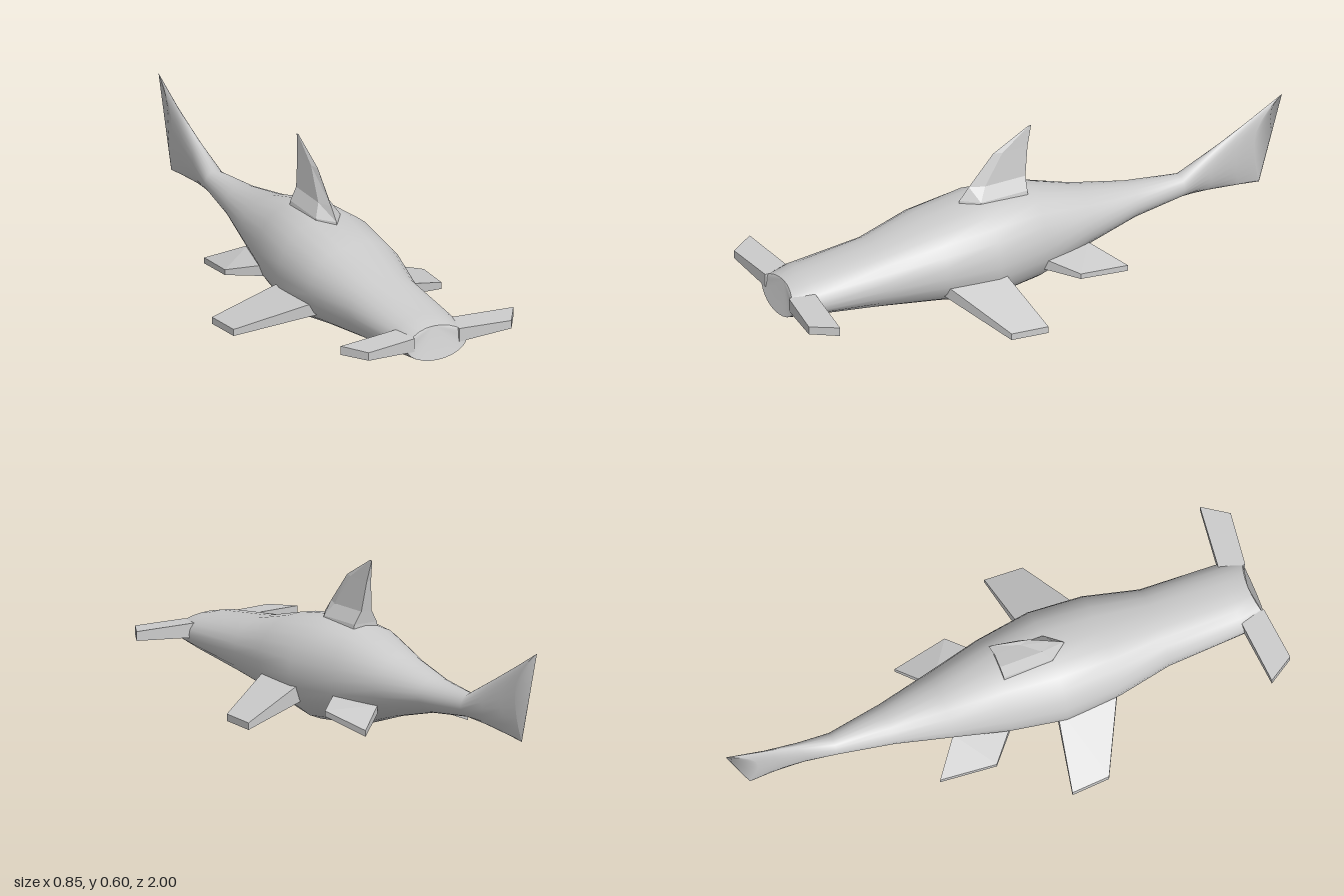
import * as THREE from 'three';
import { ConvexGeometry } from 'three/addons/geometries/ConvexGeometry.js';

const material = new THREE.MeshStandardMaterial({ color: 0xcccccc, side: THREE.DoubleSide });

// Skin closed rings of points; end caps get their own vertices to keep a crisp edge
function loft(rings, flat) {
  const n = rings[0].length, pos = rings.flat(2), index = [];
  for (let r = 0; r < rings.length - 1; r++) {
    for (let i = 0; i < n; i++) {
      const a = r * n + i, b = r * n + (i + 1) % n;
      index.push(a, a + n, b, b, a + n, b + n);
    }
  }
  [rings[0], rings[rings.length - 1]].forEach((ring, end) => {
    const start = pos.length / 3;
    pos.push(...ring.flat());
    for (let i = 1; i < n - 1; i++) {
      index.push(start, start + (end ? i + 1 : i), start + (end ? i : i + 1));
    }
  });
  let geo = new THREE.BufferGeometry();
  geo.setAttribute('position', new THREE.Float32BufferAttribute(pos, 3));
  geo.setIndex(index);
  if (flat) geo = geo.toNonIndexed();
  geo.computeVertexNormals();
  return geo;
}

// Tapered fin hull; each corner is [x, top y, z, thickness]
function fin(corners, side) {
  return new ConvexGeometry(corners.flatMap(([x, y, z, t]) => [
    new THREE.Vector3(side * x, y, z), new THREE.Vector3(side * x, y - t, z),
  ]));
}

export function createModel() {
  const group = new THREE.Group();
  const add = (name, geo) => {
    const mesh = new THREE.Mesh(geo, material);
    mesh.name = name;
    group.add(mesh);
  };

  // Body from snout to tail: half width, top y, bottom y, z at top / middle / bottom, pinch
  const stations = [
    [0.12, 0.245, 0.13, 0.95, 0.975, 0.985, 1],
    [0.135, 0.262, 0.117, 0.88, 0.88, 0.885, 0.9],
    [0.145, 0.295, 0.07, 0.6, 0.6, 0.6, 0.85],
    [0.188, 0.345, 0.045, 0.4, 0.4, 0.4, 0.85],
    [0.2, 0.375, 0.003, 0.2, 0.2, 0.2, 0.85],
    [0.168, 0.365, 0.02, 0, 0, 0, 0.9],
    [0.122, 0.302, 0.085, -0.2, -0.2, -0.2, 1],
    [0.075, 0.26, 0.135, -0.4, -0.4, -0.4, 1],
    [0.04, 0.24, 0.157, -0.6, -0.6, -0.6, 1],
    [0.027, 0.32, 0.146, -0.75, -0.71, -0.72, 1.5],
    [0.018, 0.39, 0.135, -0.88, -0.81, -0.83, 2],
    [0.012, 0.457, 0.125, -1, -0.885, -0.91, 2],
  ];
  const SIDES = 24;
  add('body', loft(stations.map(([w, top, bottom, zTop, zMid, zBottom, pinch]) =>
    Array.from({ length: SIDES }, (_, i) => {
      const a = (i / SIDES) * Math.PI * 2, s = Math.sin(a), c = Math.cos(a);
      const zEnd = c > 0 ? zTop : zBottom;
      return [
        w * Math.sign(s) * Math.abs(s) ** pinch,
        (top + bottom) / 2 + c * (top - bottom) / 2,
        zMid + (zEnd - zMid) * c * c,
      ];
    })), false));

  // Dorsal fin: y, front z, back z, half width
  const dorsal = [
    [0.34, 0.27, 0.02, 0.055],
    [0.375, 0.262, 0.02, 0.048],
    [0.42, 0.225, 0.015, 0.022],
    [0.53, 0.13, 0, 0.009],
    [0.605, -0.005, -0.018, 0.001],
  ];
  add('dorsalFin', loft(dorsal.map(([y, front, back, w]) => {
    const shoulder = front - (front - back) * 0.25;
    return [[0, y, front], [-w, y, shoulder], [-w, y, back], [w, y, back], [w, y, shoulder]];
  }).reverse(), true));

  // Paired head lobes and fins
  for (const [label, side] of [['left', 1], ['right', -1]]) {
    add(label + 'HeadLobe', fin([
      [0.08, 0.23, 0.88, 0.055], [0.09, 0.225, 0.975, 0.05],
      [0.345, 0.225, 0.905, 0.033], [0.285, 0.222, 0.997, 0.03],
    ], side));
    add(label + 'PectoralFin', fin([
      [0.14, 0.165, 0.41, 0.05], [0.14, 0.165, 0.18, 0.07],
      [0.415, 0.06, 0.27, 0.025], [0.423, 0.055, 0.13, 0.025],
    ], side));
    add(label + 'PelvicFin', fin([
      [0.13, 0.15, 0.02, 0.045], [0.1, 0.135, -0.19, 0.03],
      [0.25, 0.115, -0.085, 0.02], [0.22, 0.078, -0.285, 0.022],
    ], side));
  }
  return group;
}
